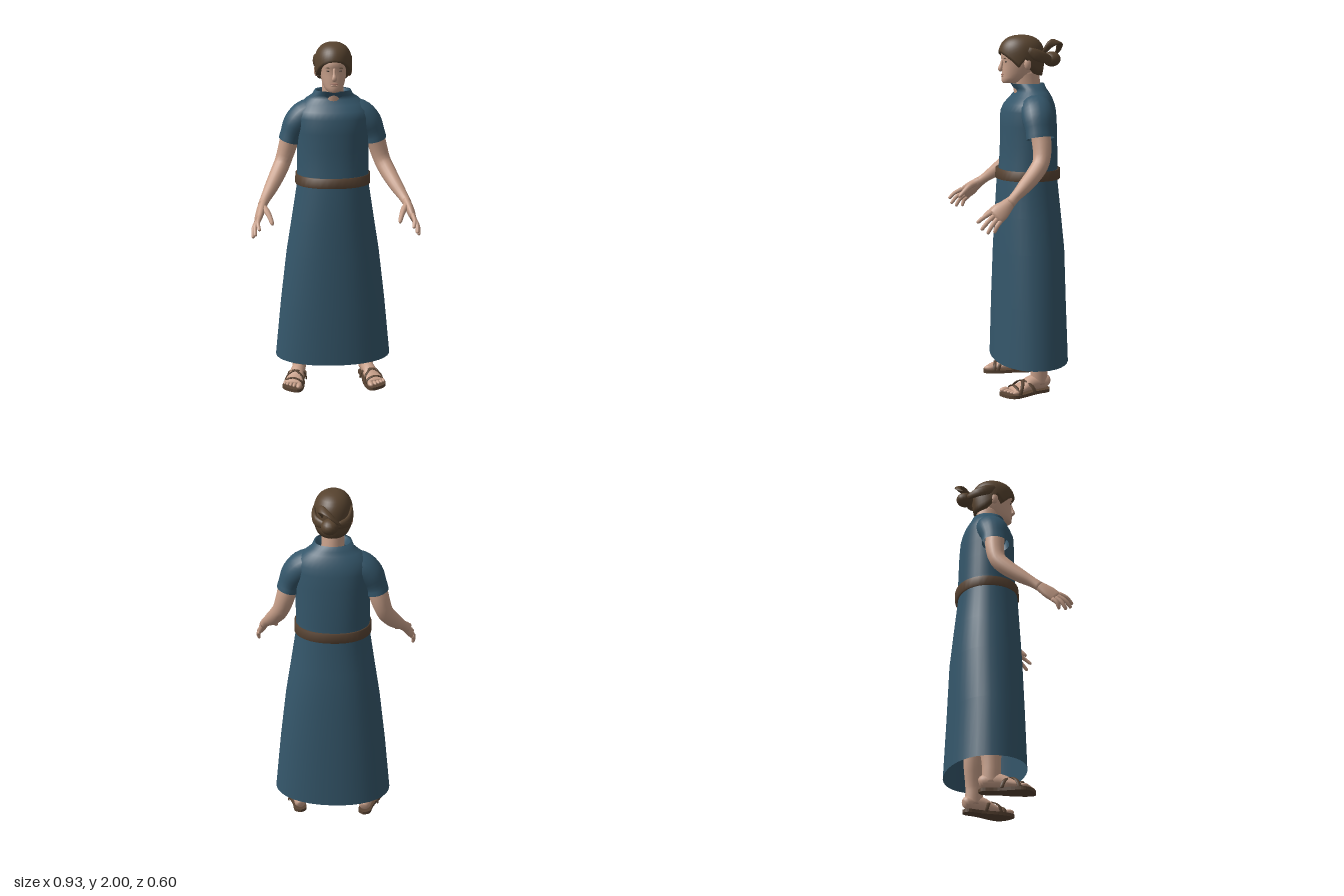
import * as THREE from 'three';

const mat = (name, color, side = THREE.FrontSide) => {
  const m = new THREE.MeshStandardMaterial({ color, side });
  m.name = name;
  return m;
};
const V = (x, y, z) => new THREE.Vector3(x, y, z);

export function createModel() {
  const cloth = mat('blue cloth', 0x34566a, THREE.DoubleSide);
  const skin = mat('skin', 0xc8a08a);
  const hair = mat('brown hair', 0x57432f, THREE.DoubleSide);
  const leather = mat('brown leather', 0x594433, THREE.DoubleSide);
  const lip = mat('lip', 0xa87868);
  const dark = mat('eye', 0x4a4038);

  const model = new THREE.Group();
  model.name = 'robedFigure';
  const add = (name, geometry, material, parent = model) => {
    const m = new THREE.Mesh(geometry, material);
    m.name = name;
    parent.add(m);
    return m;
  };

  // Surface through a list of closed rings, with optional end caps
  function surface(rings, capStart, capEnd) {
    const n = rings[0].length, pts = rings.flat(), index = [];
    for (let i = 0; i < rings.length - 1; i++) {
      for (let j = 0; j < n; j++) {
        const k = (j + 1) % n, a = i * n, b = a + n;
        index.push(a + j, a + k, b + k, a + j, b + k, b + j);
      }
    }
    const cap = (r, flip) => {
      const c = pts.length;
      pts.push(rings[r].reduce((s, p) => s.add(p), V(0, 0, 0)).divideScalar(n));
      for (let j = 0; j < n; j++) {
        const k = (j + 1) % n;
        index.push(c, r * n + (flip ? k : j), r * n + (flip ? j : k));
      }
    };
    if (capStart) cap(0, true);
    if (capEnd) cap(rings.length - 1, false);
    const g = new THREE.BufferGeometry().setFromPoints(pts);
    g.setIndex(index);
    g.computeVertexNormals();
    return g;
  }

  // Horizontal rings from rows of [y, half width, front z, back z]
  function stack(rows, n, power, capStart, capEnd) {
    const round = (v) => Math.sign(v) * Math.abs(v) ** (2 / power);
    return surface(rows.map(([y, hx, zf, zb]) => Array.from({ length: n }, (_, j) => {
      const t = (j / n) * Math.PI * 2;
      return V(hx * round(Math.cos(t)), y, (zf + zb) / 2 - ((zf - zb) / 2) * round(Math.sin(t)));
    })), capStart, capEnd);
  }

  // Oval tube along [x, y, z, radius along wide, radius across]; s mirrors x
  function limb(rows, wide, s = 1, n = 12, caps = true, sub = 3) {
    const path = new THREE.CatmullRomCurve3(rows.map((r) => V(r[0] * s, r[1], r[2])));
    const size = new THREE.CatmullRomCurve3(rows.map((r) => V(r[3], r[4] ?? r[3], 0)));
    const count = (rows.length - 1) * sub, rings = [];
    for (let i = 0; i <= count; i++) {
      const c = path.getPoint(i / count), r = size.getPoint(i / count), t = path.getTangent(i / count);
      const a = V(wide[0] * s, wide[1], wide[2]);
      a.addScaledVector(t, -a.dot(t)).normalize();
      const b = t.clone().cross(a);
      rings.push(Array.from({ length: n }, (_, j) => {
        const q = (j / n) * Math.PI * 2;
        return c.clone().addScaledVector(a, Math.cos(q) * r.x).addScaledVector(b, Math.sin(q) * r.y);
      }));
    }
    return surface(rings, caps, caps);
  }

  function blob(name, material, pos, radii, parent) {
    const m = add(name, new THREE.SphereGeometry(1, 16, 12), material, parent);
    m.position.set(...pos);
    m.scale.set(...radii);
    return m;
  }

  // Robe, open at the hem, with the collar turned in at the top
  add('robe', stack([
    [0.16, 0.337, 0.127, -0.304], [0.5, 0.303, 0.119, -0.292], [0.8, 0.267, 0.11, -0.284],
    [1.0, 0.235, 0.1, -0.265], [1.2, 0.204, 0.09, -0.245], [1.28, 0.204, 0.076, -0.246],
    [1.4, 0.203, 0.07, -0.243], [1.5, 0.206, 0.07, -0.24], [1.58, 0.21, 0.066, -0.234],
    [1.62, 0.205, 0.046, -0.225], [1.655, 0.18, 0.014, -0.212], [1.685, 0.145, -0.012, -0.196],
    [1.705, 0.115, -0.01, -0.183], [1.733, 0.1, 0.014, -0.172], [1.725, 0.09, 0.008, -0.165],
    [1.69, 0.075, -0.01, -0.155],
  ], 36, 2.15), cloth);
  add('belt', stack([
    [1.205, 0.2, 0.08, -0.245], [1.203, 0.214, 0.1, -0.26], [1.258, 0.213, 0.095, -0.262],
    [1.256, 0.2, 0.075, -0.245],
  ], 36, 2.15), leather);

  // Head, neck and face
  const head = new THREE.Group();
  head.name = 'head';
  model.add(head);
  add('neck', limb([[0, 1.66, -0.085, 0.064, 0.075], [0, 1.73, -0.075, 0.061, 0.078],
    [0, 1.81, -0.065, 0.061, 0.075]], [1, 0, 0], 1, 20), skin, head);
  add('skull', stack([
    [1.735, 0.03, 0.058, -0.04], [1.745, 0.044, 0.067, -0.07], [1.765, 0.056, 0.066, -0.1],
    [1.79, 0.064, 0.064, -0.13], [1.82, 0.071, 0.065, -0.145], [1.85, 0.075, 0.06, -0.15],
    [1.872, 0.077, 0.068, -0.15], [1.9, 0.077, 0.07, -0.15], [1.94, 0.07, 0.05, -0.14],
    [1.965, 0.05, 0.02, -0.1],
  ], 28, 2.2, true, true), skin, head);
  add('nose', limb([[0, 1.868, 0.06, 0.007, 0.008], [0, 1.835, 0.069, 0.009, 0.01],
    [0, 1.812, 0.076, 0.014, 0.012], [0, 1.802, 0.068, 0.011, 0.008]], [1, 0, 0]), skin, head);
  blob('upperLip', lip, [0, 1.782, 0.063], [0.022, 0.005, 0.007], head);
  blob('lowerLip', skin, [0, 1.773, 0.062], [0.019, 0.006, 0.008], head);
  for (const s of [1, -1]) {
    blob('eye', dark, [s * 0.031, 1.853, 0.05], [0.012, 0.004, 0.006], head);
    blob('brow', hair, [s * 0.032, 1.871, 0.057], [0.017, 0.003, 0.006], head).rotation.z = -s * 0.1;
    blob('ear', skin, [s * 0.09, 1.843, -0.06], [0.016, 0.034, 0.021], head);
  }

  // Hair cap: the lower edge rises over the face and dips behind the ears
  const line = [1.905, 1.9, 1.885, 1.86, 1.822, 1.868, 1.815, 1.79, 1.78, 1.776, 1.775];
  const edge = (a) => {
    const f = Math.min((a / Math.PI) * 10, 9.999), i = Math.floor(f);
    return line[i] + (line[i + 1] - line[i]) * (f - i);
  };
  const hairRings = [];
  for (let i = -1; i <= 12; i++) {
    const u = Math.sin((Math.max(i, 0) / 12) * Math.PI / 2);
    hairRings.push(Array.from({ length: 40 }, (_, j) => {
      const t = (j / 40) * Math.PI * 2, low = edge(Math.acos(-Math.sin(t)));
      const y = low + (1.999 - low) * u, h = (y - 1.88) / 0.12;
      let k = h > 0 ? Math.max(0, 1 - h ** 2.4) ** (1 / 2.4) : 1 - 0.13 * h * h;
      if (i < 0) k *= 0.72;
      return V(0.104 * k * Math.cos(t), y, -0.045 - 0.13 * k * Math.sin(t));
    }));
  }
  add('hairCap', surface(hairRings, false, true), hair, head);
  blob('bun', hair, [0.008, 1.865, -0.218], [0.046, 0.042, 0.05], head);
  add('bunCurl', limb([[0.05, 1.9, -0.16, 0.012, 0.006], [0.065, 1.945, -0.19, 0.02, 0.008],
    [0.05, 1.962, -0.228, 0.022, 0.008], [0.01, 1.948, -0.262, 0.02, 0.008],
    [-0.035, 1.905, -0.262, 0.012, 0.006], [-0.055, 1.885, -0.245, 0.003, 0.003]],
  [0, 0.4, 1]), hair, head);
  for (const s of [1, -1]) {
    add('sweptLock', limb([[0.092, 1.915, -0.06, 0.02, 0.01], [0.097, 1.89, -0.11, 0.032, 0.013],
      [0.08, 1.872, -0.165, 0.028, 0.014], [0.03, 1.865, -0.205, 0.018, 0.012]],
    [0, 1, 0], s), hair, head);
  }

  for (const s of [1, -1]) {
    const side = s > 0 ? 'left' : 'right';

    // Sleeve and arm
    add(side + 'Sleeve', limb([[0.1, 1.615, -0.095, 0.085, 0.075], [0.16, 1.587, -0.093, 0.092, 0.08],
      [0.205, 1.54, -0.09, 0.088, 0.075], [0.234, 1.48, -0.09, 0.076, 0.062],
      [0.244, 1.445, -0.092, 0.078, 0.062]], [0, 0, 1], s, 20, false), cloth);
    const arm = new THREE.Group();
    arm.name = side + 'Arm';
    model.add(arm);
    add('arm', limb([[0.23, 1.5, -0.09, 0.055], [0.252, 1.42, -0.098, 0.053], [0.282, 1.325, -0.088, 0.047],
      [0.312, 1.265, -0.045, 0.045], [0.352, 1.2, 0.025, 0.038], [0.386, 1.15, 0.085, 0.028],
      [0.405, 1.12, 0.12, 0.03, 0.024]], [0.3, -0.7, -0.6], s, 16), skin, arm);

    // Hand: palm, four fingers and a thumb
    const across = [0.3, -0.7, -0.6];
    add('palm', limb([[0.394, 1.138, 0.1, 0.027, 0.023], [0.408, 1.11, 0.135, 0.037, 0.024],
      [0.42, 1.08, 0.17, 0.046, 0.022], [0.43, 1.053, 0.203, 0.045, 0.016]], across, s), skin, arm);
    const tips = [[0.42, 1.026, 0.296], [0.443, 0.992, 0.28], [0.455, 0.973, 0.25], [0.45, 0.975, 0.213]];
    tips.forEach(([x, y, z], i) => {
      const k = (i - 1.5) * 0.023;
      const base = [0.43 + k * 0.3, 1.058 - k * 0.7, 0.197 - k * 0.6];
      add('finger', limb([[...base, 0.013], [(base[0] + x) / 2 + 0.008, (base[1] + y) / 2 + 0.005, (base[2] + z) / 2 + 0.003, 0.0115],
        [x, y + 0.004, z - 0.003, 0.009], [x, y, z, 0.004]], across, s, 8), skin, arm);
    });
    add('thumb', limb([[0.4, 1.118, 0.135, 0.02], [0.38, 1.105, 0.175, 0.018], [0.363, 1.08, 0.21, 0.014],
      [0.351, 1.052, 0.24, 0.011], [0.349, 1.044, 0.248, 0.005]], [1, 0, 0], s, 8), skin, arm);

    // Leg and sandalled foot, turned slightly outward
    const foot = new THREE.Group();
    foot.name = side + 'Foot';
    foot.position.set(s * 0.2, 0, -0.1);
    foot.rotation.y = s * 0.22;
    model.add(foot);
    add('leg', limb([[-0.02, 0.42, 0.0, 0.06, 0.068], [-0.01, 0.28, -0.005, 0.052, 0.062],
      [0, 0.15, 0, 0.041, 0.05], [0, 0.09, 0, 0.04, 0.05], [0, 0.05, 0, 0.038, 0.052]],
    [1, 0, 0], s, 16), skin, foot);
    add('foot', limb([[0, 0.05, -0.062, 0.02, 0.022], [0, 0.056, -0.045, 0.034, 0.038],
      [0, 0.062, 0.01, 0.038, 0.045], [0, 0.057, 0.06, 0.041, 0.04], [0.003, 0.042, 0.11, 0.049, 0.026],
      [0.005, 0.033, 0.16, 0.052, 0.016], [0.005, 0.03, 0.175, 0.046, 0.011]], [1, 0, 0], s, 16), skin, foot);
    for (let i = 0; i < 5; i++) {
      const r = i ? 0.0105 : 0.016;
      blob('toe', skin, [s * [-0.036, -0.008, 0.014, 0.034, 0.051][i], 0.03, 0.198 - i * 0.008],
        [r, r * 0.9, 0.03 - i * 0.002], foot);
    }
    const outline = [[0, -0.068], [0.035, -0.045], [0.04, 0.03], [0.062, 0.12], [0.066, 0.175],
      [0.035, 0.212], [-0.03, 0.232], [-0.056, 0.2], [-0.055, 0.12], [-0.038, 0.03], [-0.035, -0.045]];
    const shape = new THREE.Shape(new THREE.SplineCurve([...outline, outline[0]]
      .map(([x, z]) => new THREE.Vector2(x * s, -z))).getPoints(44));
    const sole = new THREE.ExtrudeGeometry(shape, { depth: 0.018, bevelEnabled: false });
    sole.rotateX(-Math.PI / 2);
    add('sandalSole', sole, leather, foot);
    // Two crossing straps and one over the toes: [inner z, top z, outer z, top y]
    for (const [z0, z1, z2, top] of [[0.145, 0.1, 0.05, 0.082], [0.05, 0.1, 0.145, 0.082], [0.165, 0.16, 0.145, 0.06]]) {
      add('sandalStrap', limb([[-0.053, 0.012, z0, 0.01, 0.004], [-0.044, top * 0.68, (z0 * 2 + z1) / 3, 0.01, 0.004],
        [0.003, top, z1, 0.01, 0.004], [0.05, top * 0.65, (z2 * 2 + z1) / 3, 0.01, 0.004],
        [0.06, 0.012, z2, 0.01, 0.004]], [0, 0, 1], s, 8), leather, foot);
    }
  }
  return model;
}
